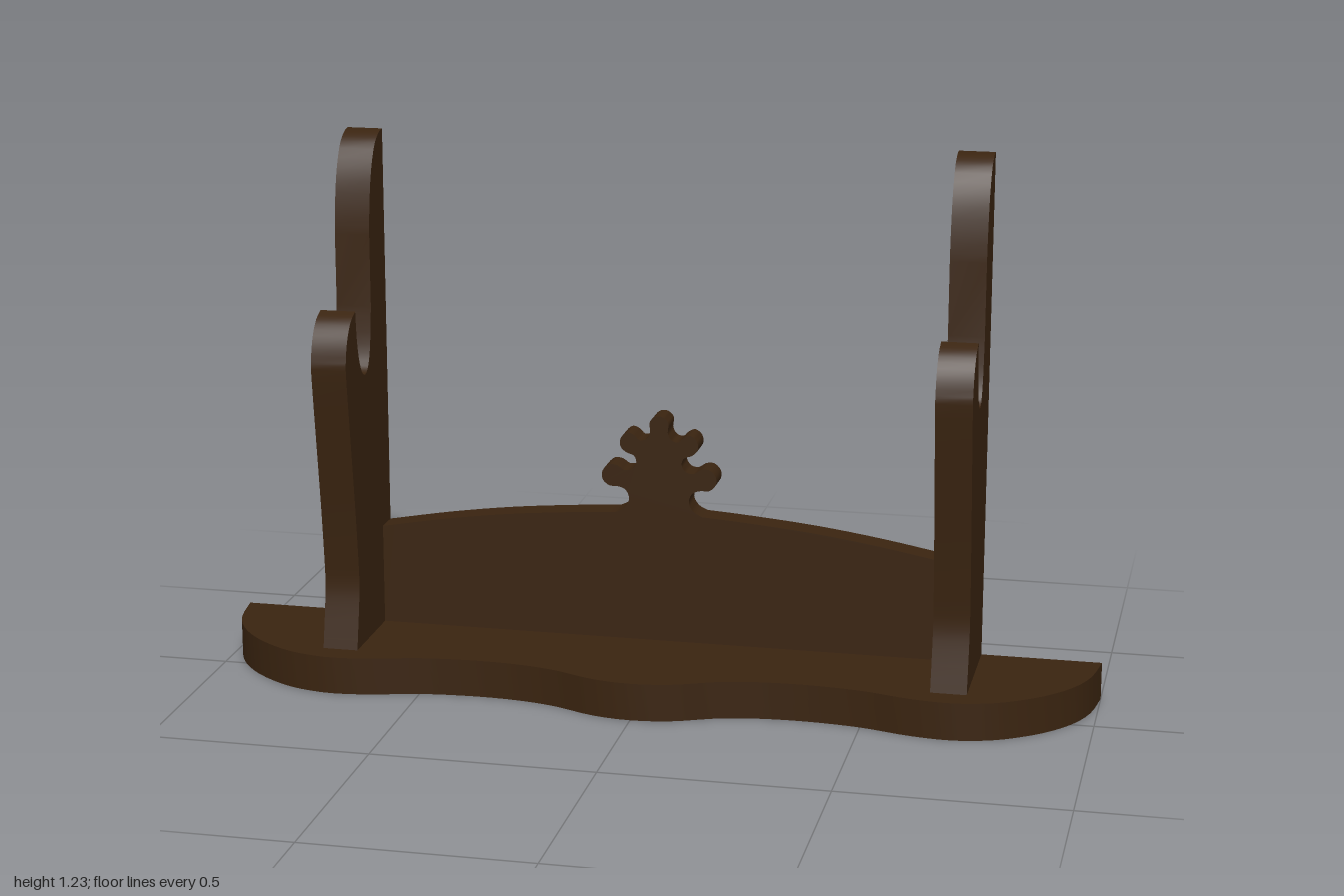
import * as THREE from 'three';
import { toCreasedNormals } from 'three/addons/utils/BufferGeometryUtils.js';

const vec = (p) => new THREE.Vector2(p[0], p[1]);
const smooth = (pts, n) => new THREE.SplineCurve(pts.map(vec)).getPoints(n);
const mirrorX = (pts) => pts.map(([x, y]) => [-x, y]).reverse();

// Extrudes an outline into a flat board with smooth curved edges
function board(points, depth) {
  const outline = points.filter((p, i) => i === 0 || p.distanceTo(points[i - 1]) > 1e-5);
  const geo = new THREE.ExtrudeGeometry(new THREE.Shape(outline), { depth, bevelEnabled: false });
  return toCreasedNormals(geo, 0.6);
}

export function createModel() {
  const group = new THREE.Group();
  const wood = new THREE.MeshStandardMaterial({ color: 0x3a2410 });
  wood.name = 'dark wood';
  const add = (name, geo) => {
    const mesh = new THREE.Mesh(geo, wood);
    mesh.name = name;
    group.add(mesh);
    return mesh;
  };

  // Base plank with a wavy front edge (shape y is -z)
  const halfFront = [
    [1, 0.18], [0.985, 0.08], [0.95, 0.0], [0.89, -0.07], [0.81, -0.125], [0.74, -0.148], [0.68, -0.153],
    [0.6, -0.142], [0.5, -0.116], [0.38, -0.105], [0.27, -0.11], [0.18, -0.13], [0.09, -0.167],
  ];
  const front = smooth([...halfFront, [0, -0.18], ...mirrorX(halfFront)], 80);
  add('base', board(front, 0.085).rotateX(-Math.PI / 2));

  // Uprights: side profile as (z, y), with a rounded cradle behind the front horn
  const profile = [
    vec([-0.18, 0.08]),
    vec([-0.18, 1.23]),
    ...smooth([[-0.175, 1.23], [-0.15, 1.224], [-0.117, 1.2], [-0.088, 1.143], [-0.072, 1.07], [-0.066, 1.01]], 14),
    ...smooth([
      [-0.066, 0.847], [-0.055, 0.765], [-0.038, 0.718], [-0.015, 0.702], [0.008, 0.71],
      [0.03, 0.745], [0.044, 0.8], [0.05, 0.86],
    ], 20),
    ...smooth([
      [0.05, 0.86], [0.085, 0.844], [0.112, 0.81], [0.126, 0.765], [0.126, 0.72], [0.098, 0.515],
      [0.082, 0.394], [0.07, 0.28], [0.068, 0.23], [0.075, 0.18], [0.096, 0.08],
    ], 32),
  ];
  const postGeo = board(profile, 0.08).rotateY(-Math.PI / 2);
  add('leftUpright', postGeo).position.x = 0.73;
  add('rightUpright', postGeo).position.x = -0.65;

  // Back panel with an arched top and a lobed crest in the middle
  const arch = [[0.65, 0.315], [0.5, 0.342], [0.35, 0.363], [0.2, 0.377], [0.1, 0.384]];
  const crest = [
    [0.1, 0.384], [0.08, 0.395], [0.069, 0.415], [0.076, 0.437], [0.095, 0.445], [0.115, 0.446], [0.13, 0.46],
    [0.13, 0.48], [0.115, 0.495], [0.096, 0.494], [0.08, 0.484], [0.062, 0.487], [0.052, 0.503], [0.058, 0.519],
    [0.076, 0.526], [0.089, 0.54], [0.087, 0.56], [0.072, 0.572], [0.056, 0.566], [0.044, 0.555], [0.028, 0.56],
    [0.02, 0.576], [0.022, 0.596], [0.013, 0.609],
  ];
  const panel = [
    vec([-0.65, 0.08]),
    vec([0.65, 0.08]),
    ...smooth(arch, 16),
    ...smooth([...crest, [0, 0.613], ...mirrorX(crest)], 144),
    ...smooth(mirrorX(arch), 16),
  ];
  add('backPanel', board(panel, 0.06)).position.z = -0.18;

  return group;
}
